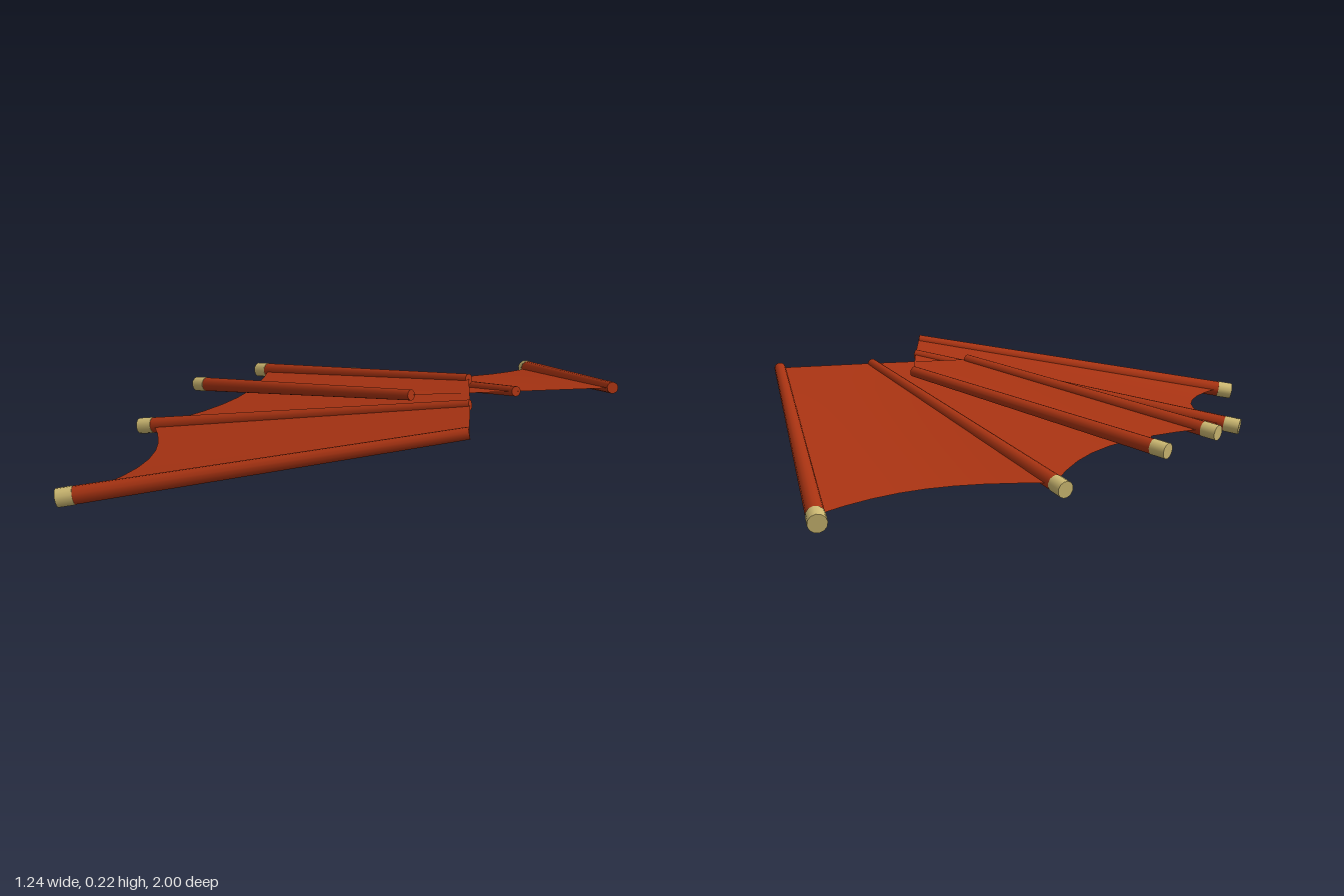
import * as THREE from 'three';
import { ParametricGeometry } from 'three/addons/geometries/ParametricGeometry.js';

const red = new THREE.MeshStandardMaterial({ color: 0xa83312, side: THREE.DoubleSide });
red.name = 'red hide';
const tan = new THREE.MeshStandardMaterial({ color: 0xcdb972 });
tan.name = 'tan tip';

// Spars of one wing: root, tip, and radius at each end.
// The inner spar lies across the centre line, so the two wings overlap.
const SPARS = [
  { name: 'outer', root: [0.605, 0.207, 0.315], tip: [-0.187, 0.026, 0.98], r0: 0.016, r1: 0.025 },
  { name: 'middle', root: [0.435, 0.208, 0.1], tip: [-0.515, 0.045, 0.443], r0: 0.014, r1: 0.023 },
  { name: 'inner', root: [0.25, 0.208, -0.124], tip: [-0.618, 0.098, -0.131], r0: 0.015, r1: 0.022 },
];
const CAP = 0.045; // length of a spar's pale tip

// Tapered rod between two points
function rod(name, a, b, ra, rb, material) {
  const mesh = new THREE.Mesh(new THREE.CylinderGeometry(rb, ra, a.distanceTo(b), 12), material);
  mesh.name = name;
  mesh.position.copy(a).lerp(b, 0.5);
  mesh.quaternion.setFromUnitVectors(new THREE.Vector3(0, 1, 0), b.clone().sub(a).normalize());
  return mesh;
}

// Membrane between two spars, with a scalloped outer edge and a slight sag
function membrane(name, s, t, pull, sag) {
  const p = new THREE.Vector3(), q = new THREE.Vector3();
  const surface = (u, v, target) => {
    const bow = 4 * u * (1 - u);
    p.lerpVectors(s.root, t.root, u);
    q.lerpVectors(s.neck, t.neck, u);
    target.lerpVectors(p, q, v * (1 - pull * bow));
    target.y -= sag * bow * v;
  };
  const mesh = new THREE.Mesh(new ParametricGeometry(surface, 8, 8), red);
  mesh.name = name;
  return mesh;
}

function createWing(side) {
  const wing = new THREE.Group();
  wing.name = side > 0 ? 'frontWing' : 'backWing';
  const at = ([x, y, z]) => new THREE.Vector3(x, y, z * side);
  const spars = SPARS.map((s) => {
    const root = at(s.root), tip = at(s.tip);
    const neck = tip.clone().lerp(root, CAP / tip.distanceTo(root));
    return { ...s, root, tip, neck };
  });
  for (const s of spars) {
    wing.add(rod(s.name + 'Spar', s.root, s.neck, s.r0, s.r1 - 0.001, red));
    wing.add(rod(s.name + 'SparTip', s.neck, s.tip, s.r1, s.r1, tan));
  }
  wing.add(membrane('outerMembrane', spars[0], spars[1], 0.095, 0.014));
  wing.add(membrane('innerMembrane', spars[1], spars[2], 0.1, 0.006));
  return wing;
}

export function createModel() {
  const model = new THREE.Group();
  model.name = 'wingSail';
  model.add(createWing(1), createWing(-1));
  return model;
}
